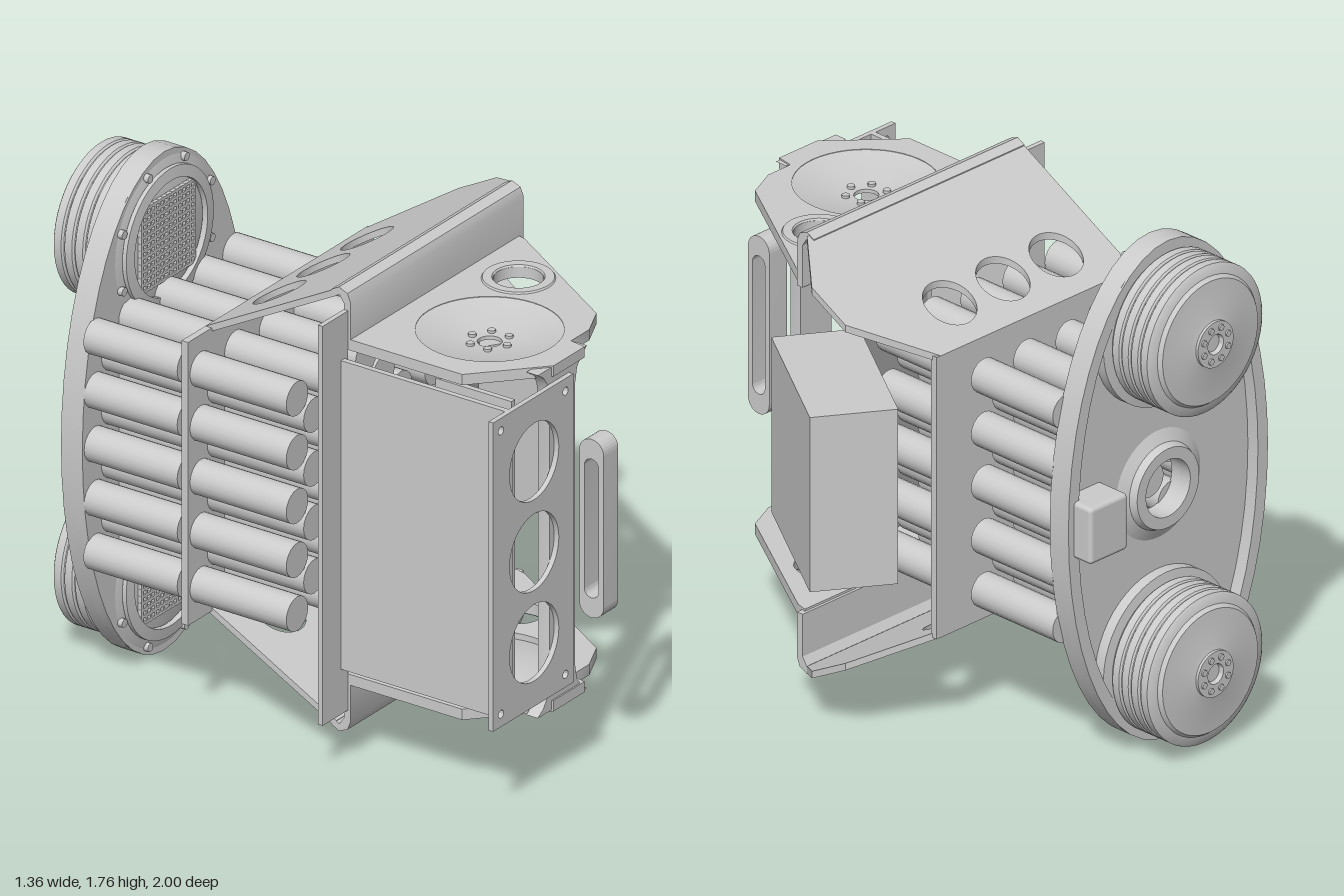
import * as THREE from 'three';
import { RoundedBoxGeometry } from 'three/addons/geometries/RoundedBoxGeometry.js';
import { toCreasedNormals } from 'three/addons/utils/BufferGeometryUtils.js';

const MID = 0.88; // height of the horizontal symmetry plane
const CX = -0.22; // axis of the rear assembly
const mat = new THREE.MeshStandardMaterial({ color: 0xcccccc, side: THREE.DoubleSide });

const circle = (x, y, rx, ry = rx) => new THREE.Path().absellipse(x, y, rx, ry, 0, Math.PI * 2, true);
const poly = (pts) => new THREE.Shape(pts.map(([x, y]) => new THREE.Vector2(x, y)));
const rect = (x0, y0, x1, y1) => poly([[x0, y0], [x1, y0], [x1, y1], [x0, y1]]);

// Plate in the xy plane, from z0 to z1
function upright(shape, holes, z0, z1) {
  shape.holes.push(...holes);
  const g = new THREE.ExtrudeGeometry(shape, { depth: z1 - z0, bevelEnabled: false, curveSegments: 24 });
  return toCreasedNormals(g.translate(0, 0, z0), 0.5);
}

// Level plate outlined by [x, z] points; holes are [x, z, rx, rz]
function level(pts, holes, y0, t) {
  const g = upright(poly(pts.map(([x, z]) => [x, -z])), holes.map(([x, z, a, b]) => circle(x, -z, a, b)), 0, t);
  return g.rotateX(-Math.PI / 2).translate(0, y0, 0);
}

// Lathe about the y axis, profile points are [radius, height]
const lathe = (pts, n = 48) => toCreasedNormals(
  new THREE.LatheGeometry(pts.map(([r, h]) => new THREE.Vector2(r, h)), n), 0.5);

// Lathe with its axis along -z
const latheZ = (pts, x, y, z) => lathe(pts).rotateX(-Math.PI / 2).translate(x, y, z);

// Copy reflected in the horizontal symmetry plane, with the winding put right
function reflect(geo) {
  const g = geo.index ? geo.toNonIndexed() : geo.clone();
  g.scale(1, -1, 1).translate(0, 2 * MID, 0);
  for (const a of [g.attributes.position, g.attributes.normal]) {
    for (let i = 0; i < a.count; i += 3) {
      const p = [a.getX(i), a.getY(i), a.getZ(i)];
      a.setXYZ(i, a.getX(i + 1), a.getY(i + 1), a.getZ(i + 1));
      a.setXYZ(i + 1, ...p);
    }
  }
  return g;
}

const box = (x0, y0, z0, x1, y1, z1) => new THREE.BoxGeometry(x1 - x0, y1 - y0, z1 - z0)
  .translate((x0 + x1) / 2, (y0 + y1) / 2, (z0 + z1) / 2);

export function createModel() {
  const model = new THREE.Group();
  const add = (name, geo) => {
    const m = new THREE.Mesh(geo, mat);
    m.name = name;
    model.add(m);
    return m;
  };
  const pair = (name, geo) => {
    add('upper' + name, geo);
    add('lower' + name, reflect(geo));
  };

  // Sloping guard with three round openings: a level plate sheared upwards
  const guard = level([[-0.54, -0.31], [0.33, -0.31], [0.55, -0.1], [0.55, 0.05], [0.42, 0.2], [-0.54, 0.2]],
    [-0.33, -0.09, 0.15].map((x) => [x, -0.17, 0.093, 0.08]), 0, 0.025);
  const p = guard.attributes.position;
  for (let i = 0; i < p.count; i++) p.setY(i, p.getY(i) + 1.36 + 0.54 * (p.getZ(i) + 0.3));
  guard.computeVertexNormals();
  pair('Guard', guard);

  // Rounded bend running down from the guard to the shelf
  pair('GuardLip', upright(poly([[-0.255, 1.46], [-0.255, 1.62], [-0.243, 1.65], [-0.21, 1.664], [-0.18, 1.648],
    [-0.18, 1.622], [-0.212, 1.638], [-0.23, 1.61], [-0.23, 1.46]]), [], -0.54, 0.41).rotateY(Math.PI / 2));

  // Level shelf with a dish and a small ringed opening
  pair('Shelf', level([[-0.54, 0.24], [0.39, 0.24], [0.38, 0.28], [0.07, 0.78], [-0.04, 0.83], [-0.14, 0.83],
    [-0.15, 0.89], [-0.32, 0.89], [-0.54, 0.69]], [[CX, 0.57, 0.237, 0.237], [0.135, 0.43, 0.08, 0.08]], 1.452, 0.038));
  pair('ShelfDish', lathe([[0.04, -0.042], [0.09, -0.04], [0.237, 0], [0.237, -0.015], [0.09, -0.055],
    [0.04, -0.055], [0.04, -0.042]]).translate(CX, 1.488, 0.57));
  pair('ShelfRing', lathe([[0.08, 0], [0.12, 0], [0.115, 0.008], [0.085, 0.008], [0.08, 0]])
    .translate(0.135, 1.488, 0.43));
  for (let i = 0; i < 6; i++) {
    const a = (i + 0.5) * Math.PI / 3;
    pair('DishBolt', new THREE.CylinderGeometry(0.013, 0.013, 0.015, 10)
      .translate(CX + 0.068 * Math.cos(a), 1.449, 0.57 + 0.068 * Math.sin(a)));
  }

  // Middle plate, hub and front strap with flared ends
  add('middlePlate', box(-0.67, 0.38, -0.31, 0.35, 1.38, -0.285));
  add('hub', latheZ([[0, 0], [0.15, 0], [0.15, 0.015], [0.1, 0.02], [0.1, 0.035], [0, 0.035]], CX, MID, -0.305));
  const side = [[-0.13, 0.605], [-0.16, 0.585], [-0.185, 0.55], [-0.195, 0.5]];
  const right = [...side, ...side.map(([x, y]) => [x, -y]).reverse()];
  const left = right.map(([x, y]) => [-0.53 - x, y]).reverse();
  add('frontStrap', upright(poly([...right, ...left].reverse()), [], 0.84, 0.885).translate(0, MID, 0));

  // Inner walls: a side wall with two slots, then an oblique wall
  const slots = [[0.6, 0.76], [1.0, 1.16]].map(([a, b]) => rect(-0.71, a, -0.575, b));
  add('innerWall', upright(rect(-0.86, 0.33, -0.565, 1.43), slots, -0.01, 0.01).rotateY(Math.PI / 2).translate(-0.5, 0, 0));
  add('obliqueWall', level([[-0.51, 0.575], [-0.5, 0.59], [0.155, 0.265], [0.145, 0.245]], [], 0.31, 1.14));

  // Front panel with three openings, side plate and flange
  const panelHoles = [0.565, 0.885, 1.205].map((y) => circle(-0.445, y, 0.135));
  for (const x of [-0.627, -0.273]) for (const y of [0.385, 1.385]) panelHoles.push(circle(x, y, 0.014));
  add('frontPanel', upright(rect(-0.67, 0.34, -0.23, 1.43), panelHoles, 0.885, 0.903));
  add('sidePlate', box(-0.58, 0.34, 0.23, -0.56, 1.43, 0.9));
  add('sideFlange', box(-0.68, 0.18, 0.228, -0.54, 1.59, 0.246));

  // Handle: a rounded loop on the front
  const loop = (w, h) => {
    const s = new THREE.Shape(), r = w / 2;
    s.absarc(0, h / 2 - r, r, 0, Math.PI, false);
    s.absarc(0, -h / 2 + r, r, Math.PI, Math.PI * 2, false);
    return s.closePath();
  };
  add('handle', upright(loop(0.095, 0.63), [loop(0.055, 0.49)], -0.04, 0.04)
    .rotateY(Math.PI / 2).translate(-0.16, 0.885, 0.952));

  // Angled square box
  const angledBox = add('angledBox', box(-0.2925, 0.58, -0.287, 0.2925, 1.2, 0));
  angledBox.position.set(0.52, 0, 0.175);
  angledBox.rotation.y = Math.atan2(0.837, 0.547);

  // Staggered bundle of tubes on both sides of the middle plate
  for (let c = 0; c < 9; c++) {
    const n = c % 2 ? 4 : 5;
    for (let r = 0; r < n; r++) {
      for (const [z0, z1] of [[-0.7, -0.335], [-0.29, 0.09]]) {
        add('tube', new THREE.CylinderGeometry(0.06, 0.06, z1 - z0, 20).rotateX(Math.PI / 2)
          .translate(CX + (c - 4) * 0.095, MID + (r - (n - 1) / 2) * 0.19, (z0 + z1) / 2));
      }
    }
  }

  // Oval rear plate with raised rim, flared centre ring and side box
  const oval = (k) => new THREE.Shape().absellipse(CX, MID, 0.45 - k, 0.88 - k, 0, Math.PI * 2, false);
  add('rearPlate', upright(oval(0), [circle(CX, MID, 0.1)], -0.735, -0.697));
  add('rearRim', upright(oval(0), [oval(0.045)], -0.78, -0.72));
  add('centreRing', latheZ([[0.1, 0], [0.2, 0], [0.15, 0.025], [0.14, 0.05], [0.1, 0.05], [0.1, 0]], CX, MID, -0.73));
  add('sideBox', new RoundedBoxGeometry(0.17, 0.2, 0.14, 3, 0.015).translate(0.12, MID, -0.785));

  // Two ribbed drums with grilles on their front ends
  const profile = [[0, 0], [0.26, 0], [0.285, 0.01], [0.285, 0.08], [0.25, 0.085]];
  for (let i = 0; i < 4; i++) {
    const h = 0.09 + i * 0.042;
    profile.push([0.253, h], [0.26, h + 0.006], [0.26, h + 0.034], [0.253, h + 0.039]);
  }
  profile.push([0.225, 0.262], [0.215, 0.275], [0.1, 0.285], [0.08, 0.29], [0.08, 0.3], [0.035, 0.3], [0.03, 0.285], [0, 0.285]);
  const cy = MID + 0.585;
  pair('Drum', latheZ(profile, CX, cy, -0.693));
  pair('GrilleRing', latheZ([[0.2, 0], [0.2, -0.02], [0.24, -0.015], [0.24, 0], [0.2, 0]], CX, cy, -0.69));
  for (let i = -6; i <= 6; i++) {
    const o = i * 0.024;
    pair('GrilleBar', box(CX + o - 0.005, cy - 0.15, -0.695, CX + o + 0.005, cy + 0.15, -0.68));
    pair('GrilleSlat', box(CX - 0.15, cy + o - 0.005, -0.695, CX + 0.15, cy + o + 0.005, -0.68));
  }
  for (let i = 0; i < 8; i++) {
    const a = (i + 0.5) * Math.PI / 4, x = Math.cos(a), y = Math.sin(a);
    pair('PlateBolt', new THREE.CylinderGeometry(0.015, 0.015, 0.025, 10).rotateX(Math.PI / 2)
      .translate(CX + 0.262 * x, cy + 0.262 * y, -0.692));
    pair('DrumBolt', new THREE.CylinderGeometry(0.011, 0.011, 0.01, 8).rotateX(Math.PI / 2)
      .translate(CX + 0.058 * x, cy + 0.058 * y, -0.994));
  }
  return model;
}
